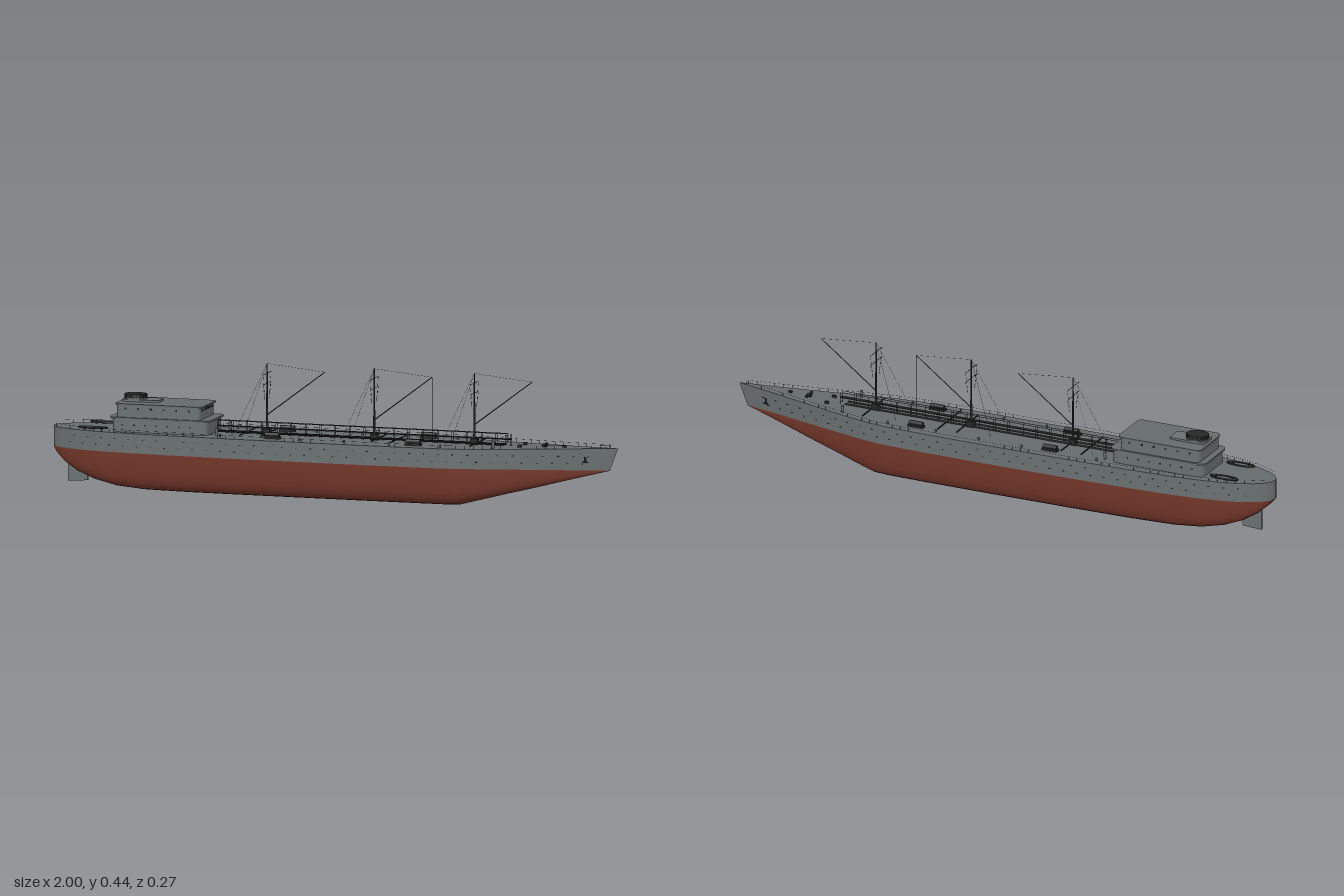
import * as THREE from 'three';
import { mergeGeometries } from 'three/addons/utils/BufferGeometryUtils.js';

const mat = (name, color, side = THREE.FrontSide) => {
  const m = new THREE.MeshStandardMaterial({ color, side });
  m.name = name;
  return m;
};
const V = (x, y, z) => new THREE.Vector3(x, y, z);

// Hull stations: x, half beam, keel height
const WL = 0.135;
const STATIONS = [
  [-1, 0, WL], [-0.995, 0.02, 0.13], [-0.98, 0.04, 0.112], [-0.95, 0.06, 0.085], [-0.9, 0.082, 0.055],
  [-0.84, 0.098, 0.032], [-0.76, 0.111, 0.014], [-0.66, 0.12, 0.006], [-0.5, 0.127, 0.004], [-0.3, 0.132, 0.004],
  [0, 0.134, 0.004], [0.25, 0.132, 0.004], [0.4, 0.127, 0.004], [0.46, 0.12, 0.005], [0.53, 0.107, 0.022],
  [0.62, 0.086, 0.044], [0.74, 0.058, 0.072], [0.87, 0.028, 0.104], [1, 0, WL],
];
// Underwater section: fraction of half beam, fraction of depth
const SECTION = [[1, 1], [0.985, 0.82], [0.955, 0.6], [0.91, 0.36], [0.85, 0.2], [0.78, 0.1], [0.66, 0.035], [0.52, 0], [0.25, 0], [0, 0]];

const deckY = (x) => 0.202 + 0.011 * Math.max(0, (x - 0.4) / 0.6) ** 1.5;
const waterX = (x) => x - 0.03 * Math.max(0, (x - 0.4) / 0.6);
function beam(x) {
  for (let i = 1; i < STATIONS.length; i++) {
    const [x0, w0] = STATIONS[i - 1], [x1, w1] = STATIONS[i];
    if (x <= x1) return w0 + (w1 - w0) * (x - x0) / (x1 - x0);
  }
  return 0;
}

// Skin through equal-length rows of points
function loft(rows) {
  const n = rows[0].length, index = [];
  for (let i = 0; i < rows.length - 1; i++) for (let j = 0; j < n - 1; j++) {
    const a = i * n + j, b = a + n;
    index.push(a, a + 1, b, b, a + 1, b + 1);
  }
  const g = new THREE.BufferGeometry().setFromPoints(rows.flat());
  g.setIndex(index);
  g.computeVertexNormals();
  return g;
}

const box = (x, y, z, w, h, d) => new THREE.BoxGeometry(w, h, d).translate(x, y, z);
function rod(a, b, r, r2 = r, sides = 5) {
  const dir = b.clone().sub(a), g = new THREE.CylinderGeometry(r2, r, dir.length(), sides);
  g.applyQuaternion(new THREE.Quaternion().setFromUnitVectors(V(0, 1, 0), dir.normalize()));
  return g.translate((a.x + b.x) / 2, (a.y + b.y) / 2, (a.z + b.z) / 2);
}
// Deckhouse block with rounded corners
function house(x0, x1, hw, y0, y1, r) {
  const s = new THREE.Shape();
  s.moveTo(x0 + r, -hw);
  s.lineTo(x1 - r, -hw); s.quadraticCurveTo(x1, -hw, x1, -hw + r);
  s.lineTo(x1, hw - r); s.quadraticCurveTo(x1, hw, x1 - r, hw);
  s.lineTo(x0 + r, hw); s.quadraticCurveTo(x0, hw, x0, hw - r);
  s.lineTo(x0, -hw + r); s.quadraticCurveTo(x0, -hw, x0 + r, -hw);
  return new THREE.ExtrudeGeometry(s, { depth: y1 - y0, bevelEnabled: false, curveSegments: 5 })
    .rotateX(-Math.PI / 2).translate(0, y0, 0);
}

export function createModel() {
  const ship = new THREE.Group();
  ship.name = 'cargoShip';
  const grey = mat('hullGrey', 0x6a7070);
  const deckGrey = mat('deckGrey', 0x656a6a);
  const red = mat('antifoulingRed', 0x76382b);
  const dark = mat('fittingsDark', 0x262828);
  const part = (name, material, geoms) => {
    const list = [].concat(geoms);
    const m = new THREE.Mesh(list.length > 1 ? mergeGeometries(list) : list[0], material);
    m.name = name;
    ship.add(m);
  };

  // Underwater hull
  part('lowerHull', red, loft(STATIONS.map(([x, w, k]) => {
    const pt = (s) => ([f, t]) => V(waterX(x), k + (WL - k) * t, s * w * f);
    return [...SECTION.map(pt(1)), ...SECTION.slice(0, -1).reverse().map(pt(-1))];
  })));

  // Topsides and deck
  const side = (s) => loft(STATIONS.map(([x, w]) => {
    const row = [V(x, deckY(x), s * w), V(waterX(x), WL, s * w)];
    return s > 0 ? row : row.reverse();
  }));
  part('topsides', grey, [side(1), side(-1)]);
  part('deck', deckGrey, loft(STATIONS.map(([x, w]) => [V(x, deckY(x), -w), V(x, deckY(x), w)])));

  // Rudder blade
  const blade = new THREE.Shape([[-0.95, 0.014], [-0.88, 0.018], [-0.88, 0.08], [-0.95, 0.1]].map((p) => new THREE.Vector2(...p)));
  part('rudder', grey, new THREE.ExtrudeGeometry(blade, { depth: 0.008, bevelEnabled: false }).translate(0, 0, -0.004));

  // Deckhouse
  part('deckhouse', grey, [
    house(-0.77, -0.43, 0.088, 0.2, 0.247, 0.025), house(-0.755, -0.457, 0.085, 0.25, 0.294, 0.02),
    house(-0.75, -0.62, 0.033, 0.297, 0.305, 0.01),
  ]);
  part('deckhouseDecks', deckGrey, [house(-0.778, -0.422, 0.092, 0.246, 0.252, 0.028), house(-0.76, -0.45, 0.088, 0.293, 0.298, 0.022)]);

  // Funnel with ribbed cap
  const ribs = [new THREE.CylinderGeometry(0.034, 0.036, 0.018, 24).scale(1.1, 1, 0.92).translate(-0.71, 0.313, 0)];
  for (let i = 0; i < 20; i++) {
    const a = i * Math.PI / 10;
    ribs.push(box(-0.71 + 0.038 * Math.cos(a), 0.313, 0.032 * Math.sin(a), 0.003, 0.017, 0.003));
  }
  part('funnelCap', dark, ribs);
  part('funnelBase', grey, new THREE.CylinderGeometry(0.037, 0.037, 0.016, 24).scale(1.1, 1, 0.92).translate(-0.71, 0.301, 0));

  // Bridge windows and deckhouse portholes
  const panes = [];
  for (let i = -4; i <= 4; i++) panes.push(box(-0.457, 0.284, i * 0.0145, 0.002, 0.008, 0.009));
  for (const s of [-1, 1]) {
    for (let x = -0.72; x < -0.47; x += 0.045) panes.push(box(x, 0.282, s * 0.085, 0.007, 0.006, 0.002));
    for (let x = -0.73; x < -0.45; x += 0.04) panes.push(box(x, 0.227, s * 0.088, 0.005, 0.005, 0.002));
  }
  part('deckhouseWindows', dark, panes);

  const ports = [], rails = [], winches = [], anchors = [], bollards = [], pipes = [], tubs = [];
  for (const s of [-1, 1]) {
    // Portholes along the topsides
    for (let x = -0.92; x < 0.93; x += 0.05) for (const y of [0.158, 0.182]) {
      const px = x + (y > 0.17 ? 0.02 : 0);
      ports.push(box(px, y, s * beam(px), 0.006, 0.0025, 0.002));
    }
    // Deck edge railing
    let prev = null;
    for (let x = -0.98; x < 0.99; x += 0.03) {
      const p = V(x, deckY(x) + 0.011, s * beam(x) * 0.985);
      rails.push(rod(V(p.x, deckY(x), p.z), p, 0.0005, 0.0005, 4));
      if (prev) rails.push(rod(prev, p, 0.0004, 0.0004, 3));
      prev = p;
    }
    // Deck winches
    for (const x of [-0.2, 0.3]) {
      winches.push(box(x, 0.207, s * 0.085, 0.056, 0.008, 0.018));
      winches.push(rod(V(x - 0.025, 0.216, s * 0.085), V(x + 0.025, 0.216, s * 0.085), 0.008, 0.008, 10));
    }
    // Bollards and vents
    for (const x of [-0.38, -0.1, 0.06, 0.22, 0.4]) bollards.push(rod(V(x, 0.2, s * 0.1), V(x, 0.212, s * 0.1), 0.003, 0.004, 8));
    for (const x of [-0.4, 0.58]) bollards.push(rod(V(x, 0.2, s * 0.075), V(x, 0.228, s * 0.075), 0.004, 0.006, 8));
    // Bow anchors
    anchors.push(box(0.89, 0.172, s * (beam(0.89) + 0.002), 0.005, 0.018, 0.004));
    anchors.push(box(0.89, 0.164, s * (beam(0.89) + 0.002), 0.016, 0.004, 0.004));
    // Oval tubs at the stern
    tubs.push(new THREE.TorusGeometry(1, 0.06, 6, 28).rotateX(Math.PI / 2).scale(0.05, 0.06, 0.014).translate(-0.84, 0.209, s * 0.066));
    tubs.push(rod(V(-0.87, 0.2, s * 0.066), V(-0.87, 0.212, s * 0.066), 0.003));
    tubs.push(rod(V(-0.81, 0.2, s * 0.066), V(-0.81, 0.212, s * 0.066), 0.003));
    // Pipes beside the catwalk
    for (const z of [0.009, 0.015]) pipes.push(rod(V(-0.42, 0.208, s * z), V(0.6, 0.208, s * z), 0.002));
  }
  part('portholes', dark, ports);
  part('railings', dark, rails);
  part('winches', dark, winches);
  part('bollards', grey, bollards);
  part('anchors', dark, anchors);
  part('sternTubs', dark, tubs);
  // Cross-deck pipes
  for (const x of [-0.315, -0.24, 0.15, 0.22, 0.5]) pipes.push(rod(V(x, 0.209, -0.085), V(x, 0.209, 0.085), 0.0025));
  part('deckPipes', dark, pipes);

  // Raised catwalk
  const walk = [box(0.1, 0.226, 0, 1.04, 0.003, 0.014)];
  for (let x = -0.42; x <= 0.62; x += 0.052) for (const s of [-1, 1]) walk.push(rod(V(x, 0.2, s * 0.007), V(x, 0.245, s * 0.007), 0.0008, 0.0008, 4));
  for (const s of [-1, 1]) walk.push(rod(V(-0.42, 0.245, s * 0.007), V(0.61, 0.245, s * 0.007), 0.001));
  part('catwalk', dark, walk);

  // Masts with booms and rigging
  for (const x of [-0.245, 0.135, 0.49]) {
    const tip = V(x + 0.205, 0.425, 0), top = V(x, 0.445, 0);
    part('mast', dark, [
      rod(V(x, 0.2, 0), top, 0.0045, 0.002, 8), rod(V(x, 0.27, 0), tip, 0.002, 0.0015),
      rod(V(x, 0.412, -0.045), V(x, 0.412, 0.045), 0.001), rod(V(x, 0.378, -0.045), V(x, 0.378, 0.045), 0.001),
      box(x, 0.212, 0, 0.025, 0.022, 0.02),
    ]);
    const wires = [rod(top, tip, 0.0004, 0.0004, 3)];
    for (const s of [-1, 1]) {
      wires.push(rod(top, V(x - 0.1, 0.205, s * 0.06), 0.0004, 0.0004, 3));
      wires.push(rod(V(x, 0.412, s * 0.045), V(x, 0.325, s * 0.024), 0.0004, 0.0004, 3));
      wires.push(rod(V(x, 0.378, s * 0.045), V(x, 0.325, s * 0.024), 0.0004, 0.0004, 3));
    }
    if (x === 0.135) wires.push(rod(tip, V(tip.x, 0.2, 0), 0.001));
    part('rigging', dark, wires);
  }

  // Bow windlass and chocks
  part('windlass', dark, [
    rod(V(0.74, 0.214, -0.022), V(0.74, 0.214, 0.022), 0.005, 0.005, 10), box(0.74, 0.21, 0, 0.015, 0.01, 0.012),
    box(0.66, 0.21, 0.03, 0.014, 0.009, 0.006), box(0.66, 0.21, -0.03, 0.014, 0.009, 0.006), box(0.81, 0.212, 0, 0.012, 0.008, 0.006),
  ]);
  return ship;
}
